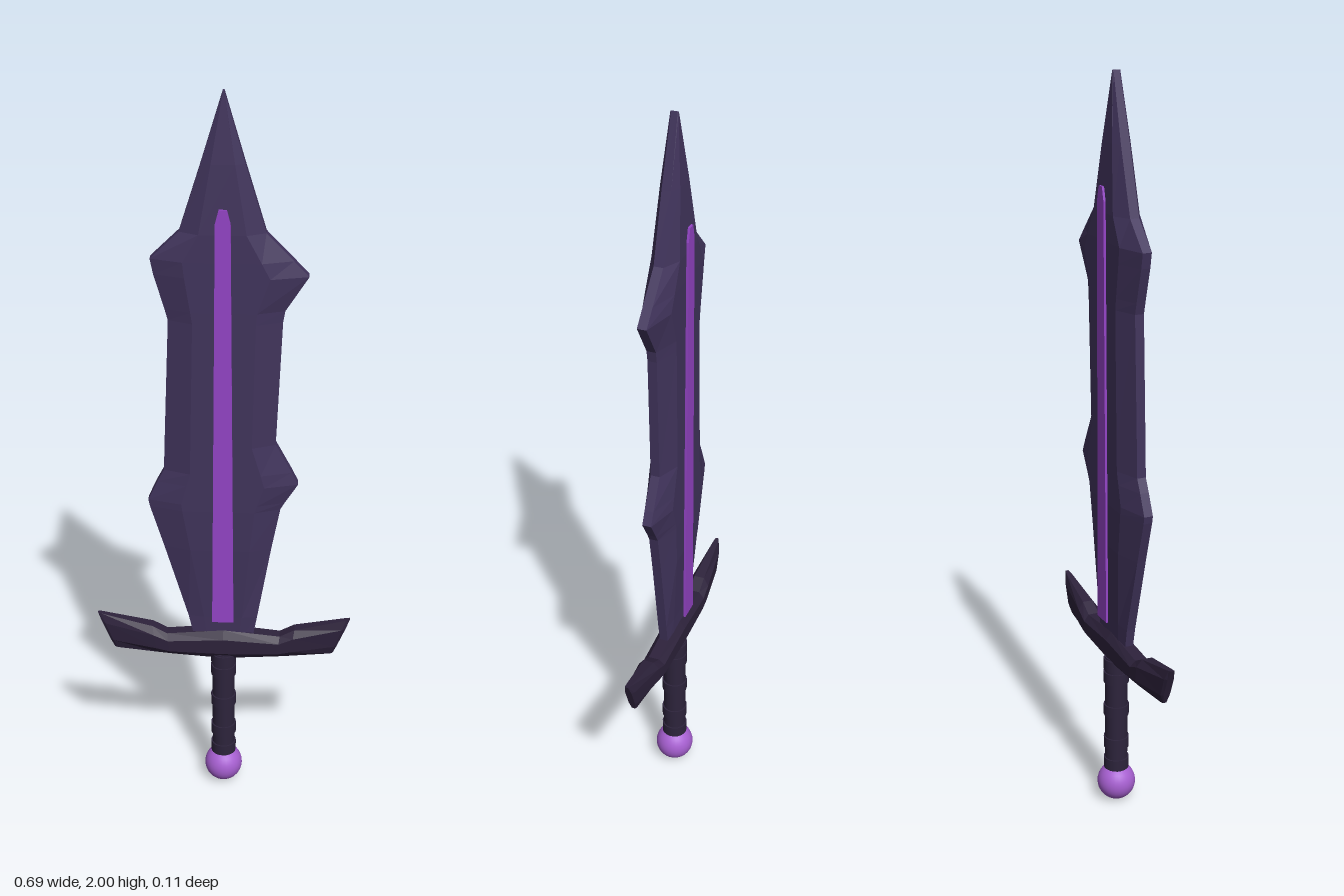
import * as THREE from 'three';

const mat = (name, color, flatShading = false) => {
  const m = new THREE.MeshStandardMaterial({ color, flatShading });
  m.name = name;
  return m;
};

// Joins rings of [x, y, z] points into a closed, faceted solid
function loft(rings) {
  const pos = [];
  const tri = (a, b, c) => pos.push(...a, ...b, ...c);
  const n = rings[0].length;
  for (let r = 0; r < rings.length - 1; r++) {
    const A = rings[r], B = rings[r + 1];
    for (let i = 0; i < n; i++) {
      const j = (i + 1) % n;
      tri(A[i], A[j], B[j]);
      tri(A[i], B[j], B[i]);
    }
  }
  const first = rings[0], last = rings[rings.length - 1];
  for (let i = 1; i < n - 1; i++) {
    tri(first[0], first[i + 1], first[i]);
    tri(last[0], last[i], last[i + 1]);
  }
  const g = new THREE.BufferGeometry();
  g.setAttribute('position', new THREE.Float32BufferAttribute(pos, 3));
  g.computeVertexNormals();
  return g;
}

export function createModel() {
  const model = new THREE.Group();
  model.name = 'sword';
  const bladeMat = mat('dark violet blade', 0x41345c, true);
  const hiltMat = mat('blackish purple hilt', 0x2d223b, true);
  const gripMat = mat('blackish purple grip', 0x2d243c);
  const glowMat = mat('bright purple inlay', 0x9444c6);
  const gemMat = mat('light purple gem', 0xa65fd0);
  const add = (name, geo, material, y = 0) => {
    const m = new THREE.Mesh(geo, material);
    m.name = name;
    m.position.y = y;
    model.add(m);
    return m;
  };

  // Blade: height, left edge, right edge, half thickness of the flat
  const blade = [
    [0.48, -0.078, 0.078, 0.014],
    [0.56, -0.095, 0.092, 0.018],
    [0.78, -0.158, 0.128, 0.034],
    [0.90, -0.194, 0.15, 0.037],
    [0.92, -0.198, 0.161, 0.037],
    [0.975, -0.173, 0.195, 0.037],
    [1.01, -0.155, 0.178, 0.037],
    [1.09, -0.152, 0.135, 0.037],
    [1.43, -0.138, 0.148, 0.037],
    [1.46, -0.146, 0.153, 0.037],
    [1.55, -0.172, 0.21, 0.037],
    [1.59, -0.18, 0.172, 0.037],
    [1.66, -0.108, 0.104, 0.036],
    [1.83, -0.054, 0.052, 0.025],
    [2.0, -0.002, 0.002, 0.01],
  ];
  add('blade', loft(blade.map(([y, l, r, t]) => {
    const e = Math.min(0.012, t * 0.8), k = 0.55;
    return [[r, -e], [r * k, -t], [l * k, -t], [l, -e], [l, e], [l * k, t], [r * k, t], [r, e]]
      .map(([x, z]) => [x, y, z]);
  })), bladeMat);

  // Glowing strips just proud of both blade faces
  const strip = new THREE.Shape([
    [-0.029, 0.56], [0.029, 0.56], [0.019, 1.69], [0.01, 1.725], [-0.01, 1.725], [-0.019, 1.69],
  ].map(p => new THREE.Vector2(...p)));
  const stripGeo = new THREE.ExtrudeGeometry(strip, { depth: 0.006, bevelEnabled: false });
  add('frontInlay', stripGeo, glowMat).position.z = 0.037;
  const back = add('backInlay', stripGeo, glowMat);
  back.position.z = -0.037;
  back.rotation.y = Math.PI;

  // Crossguard: bottom x, bottom y, top x, top y, half depth
  const half = [
    [0.145, 0.434, 0.155, 0.5, 0.03],
    [0.18, 0.437, 0.195, 0.522, 0.029],
    [0.295, 0.444, 0.335, 0.553, 0.014],
    [0.302, 0.445, 0.346, 0.556, 0.009],
  ];
  const guard = [
    ...half.map(([a, b, c, d, h]) => [-a, b, -c, d, h]).reverse(),
    [0, 0.424, 0, 0.516, 0.031],
    ...half,
  ];
  const outline = [[1, 0.25], [0.5, 0], [-0.5, 0], [-1, 0.25], [-1, 0.75], [-0.5, 1], [0.5, 1], [1, 0.75]];
  add('crossguard', loft(guard.map(([bx, by, tx, ty, h]) =>
    outline.map(([u, v]) => [bx + (tx - bx) * v, by + (ty - by) * v, u * h]))), hiltMat);

  // Grip with raised bands
  add('grip', new THREE.CylinderGeometry(0.031, 0.031, 0.35, 20), gripMat, 0.265);
  for (const y of [0.115, 0.18, 0.28, 0.38, 0.42]) {
    add('gripBand', new THREE.CylinderGeometry(0.035, 0.035, 0.032, 20), gripMat, y);
  }

  // Pommel
  add('pommel', new THREE.SphereGeometry(0.053, 28, 18), gemMat, 0.053);
  return model;
}
